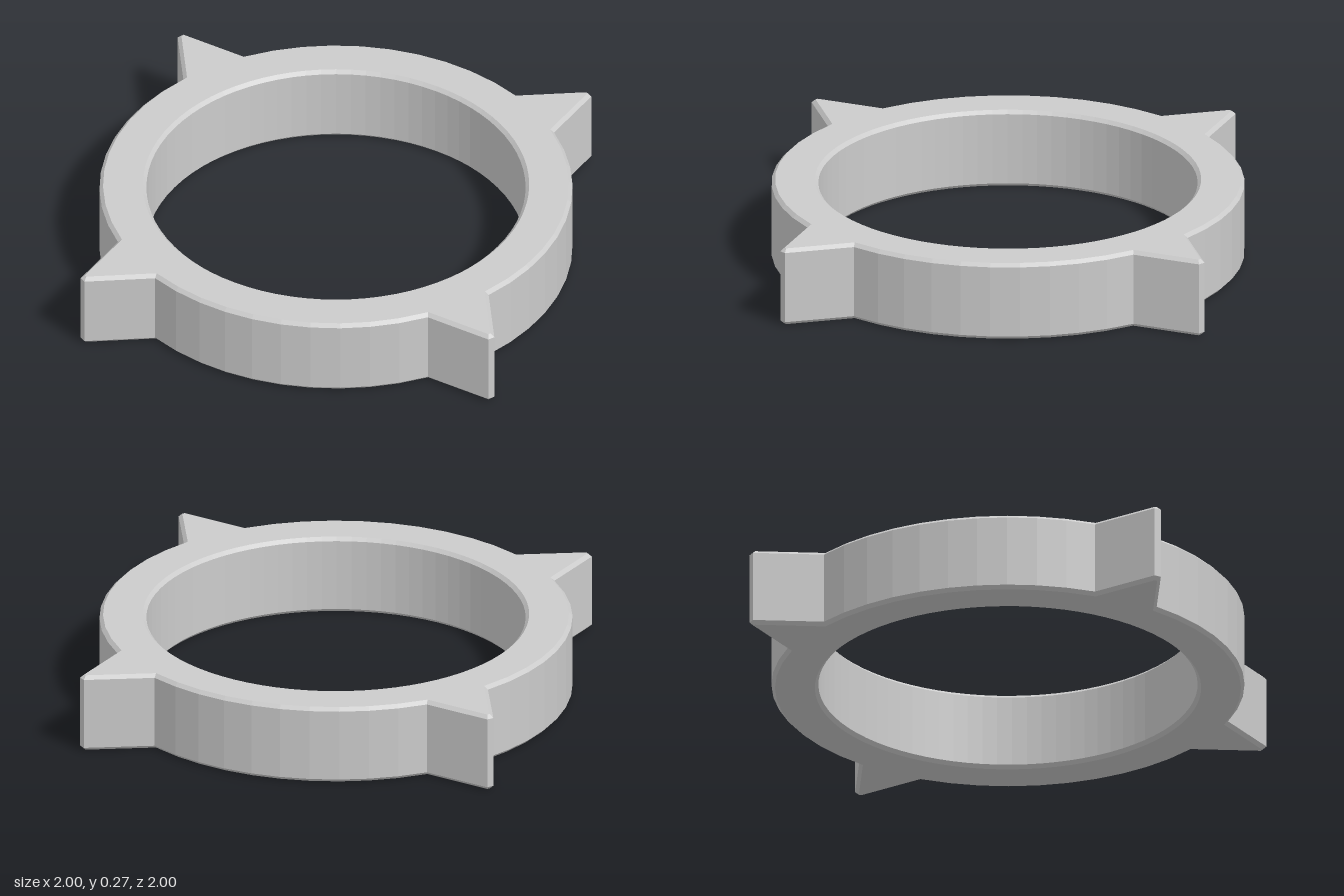
import * as THREE from 'three';

const HEIGHT = 0.273, BEVEL = 0.012;
const OUTER = 0.796, INNER = 0.638;
const ROOT = 0.12, TIP = 0.012; // half widths of a spike
const STEPS = 10; // facets per quarter of the rim

// Outline of the rim with four pointed spikes, counter-clockwise
function outline() {
  const points = [];
  const rootAngle = Math.asin(ROOT / OUTER);
  for (let q = 0; q < 4; q++) {
    const turn = q * Math.PI / 2;
    const add = (r, a) => points.push(new THREE.Vector2(r * Math.cos(a + turn), r * Math.sin(a + turn)));
    // blunt spike tip
    add(1, -TIP);
    add(1, TIP);
    // arc to the next spike
    for (let i = 0; i <= STEPS; i++) {
      add(OUTER, rootAngle + (Math.PI / 2 - 2 * rootAngle) * i / STEPS);
    }
  }
  return points;
}

export function createModel() {
  const group = new THREE.Group();
  group.name = 'spikedRing';

  const shape = new THREE.Shape(outline());
  const hole = new THREE.Path();
  hole.absarc(0, 0, INNER, 0, Math.PI * 2, true);
  shape.holes.push(hole);

  // Chamfer cuts into the outline, so the walls keep their full size
  const geometry = new THREE.ExtrudeGeometry(shape, {
    depth: HEIGHT - 2 * BEVEL,
    curveSegments: STEPS * 4,
    bevelEnabled: true,
    bevelSegments: 1,
    bevelSize: BEVEL,
    bevelThickness: BEVEL,
    bevelOffset: -BEVEL,
  });
  geometry.rotateX(-Math.PI / 2);
  geometry.translate(0, BEVEL, 0);

  const ring = new THREE.Mesh(
    geometry,
    new THREE.MeshStandardMaterial({ color: 0xcccccc, flatShading: true })
  );
  ring.name = 'ringWithSpikes';
  group.add(ring);
  return group;
}
